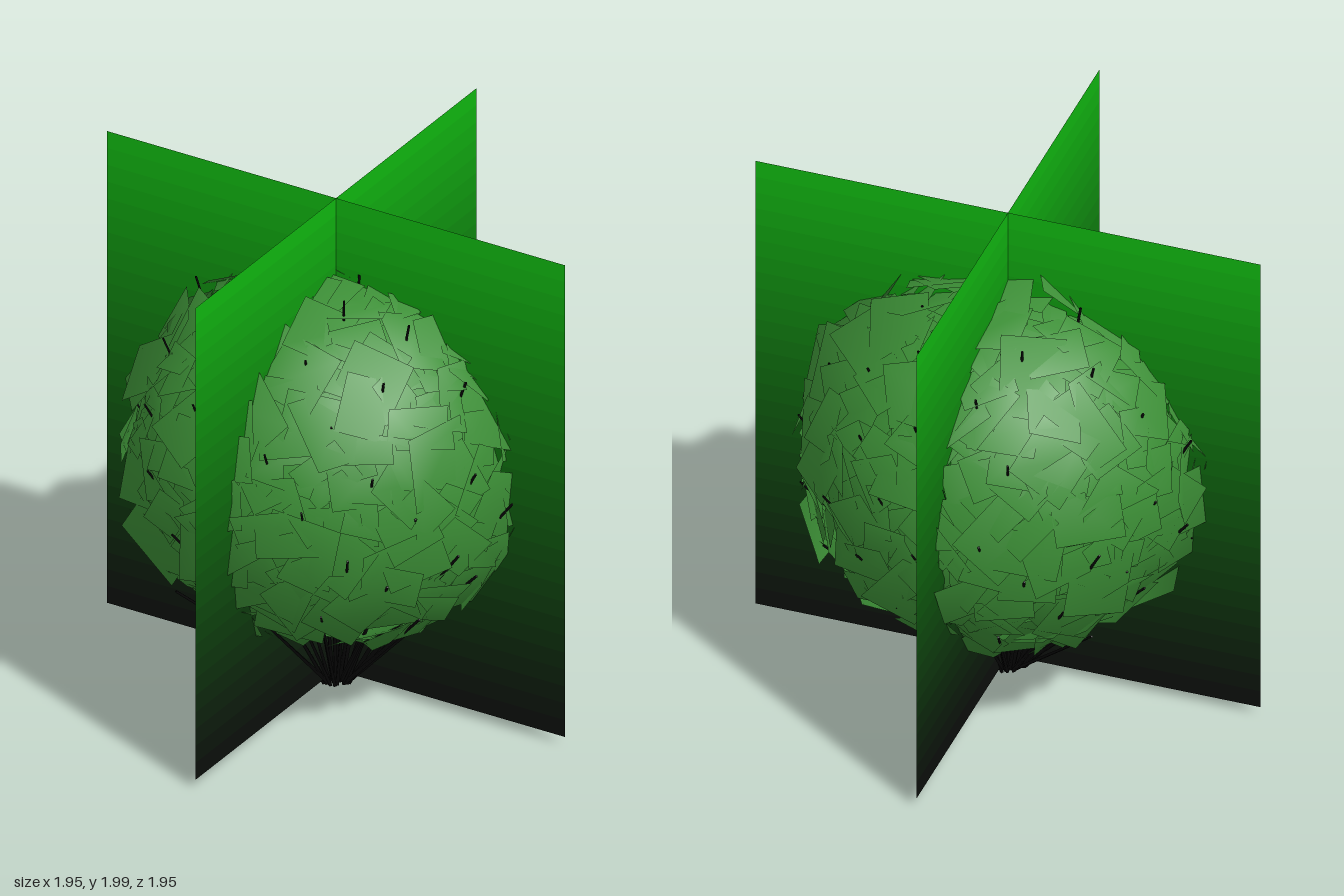
import * as THREE from 'three';
import { mergeGeometries } from 'three/addons/utils/BufferGeometryUtils.js';

const CENTER = new THREE.Vector3(0, 0.98, 0);

// small seeded generator, 0..1
function makeRandom(seed) {
  return () => {
    seed = (seed * 1664525 + 1013904223) % 4294967296;
    return seed / 4294967296;
  };
}

// evenly spread direction i of n on a sphere
function spread(i, n) {
  const y = 1 - (2 * (i + 0.5)) / n;
  const r = Math.sqrt(1 - y * y);
  const a = i * 2.399963;
  return new THREE.Vector3(Math.cos(a) * r, y, Math.sin(a) * r);
}

// overlapping square leaf cards lying on a rounded crown
function leafGeometry(rand) {
  const cards = [];
  const count = 520;
  const up = new THREE.Vector3(0, 0, 1);
  for (let i = 0; i < count; i++) {
    const dir = spread(i, count);
    dir.x += (rand() - 0.5) * 0.1;
    dir.z += (rand() - 0.5) * 0.1;
    dir.normalize();
    // opening underneath for the stems
    const gap = Math.min(Math.abs(dir.x), Math.abs(dir.z));
    if (dir.y < -0.88 || (dir.y < -0.68 && gap < 0.13)) continue;

    const size = 0.17 + rand() * 0.1;
    const card = new THREE.PlaneGeometry(size, size * (0.8 + rand() * 0.4));
    card.rotateZ(rand() * Math.PI * 2);
    card.rotateX((rand() - 0.5) * 0.8);
    card.rotateY((rand() - 0.5) * 0.8);
    card.applyQuaternion(new THREE.Quaternion().setFromUnitVectors(up, dir));
    const p = dir.clone().multiplyScalar(0.68 + rand() * 0.06);
    card.translate(p.x, CENTER.y + p.y * 0.97, p.z);

    // normals follow the crown so the foliage shades as one volume
    const pos = card.attributes.position;
    const n = new THREE.Vector3();
    for (let k = 0; k < pos.count; k++) {
      n.fromBufferAttribute(pos, k).sub(CENTER).normalize();
      card.attributes.normal.setXYZ(k, n.x, n.y, n.z);
    }
    cards.push(card);
  }
  return mergeGeometries(cards);
}

// straight thin stems fanning from the ground out through the crown
function stemGeometry(rand) {
  const stems = [];
  const count = 110;
  const up = new THREE.Vector3(0, 1, 0);
  for (let i = 0; i < count; i++) {
    const dir = spread(i, count);
    if (dir.y < -0.62) continue;
    const tip = dir.clone().multiplyScalar(0.72 + rand() * 0.08).add(CENTER);
    const base = new THREE.Vector3(dir.x * 0.07, 0.02 + rand() * 0.02, dir.z * 0.07);
    const along = tip.clone().sub(base);
    const stem = new THREE.CylinderGeometry(0.005, 0.008, along.length(), 4);
    stem.applyQuaternion(new THREE.Quaternion().setFromUnitVectors(up, along.clone().normalize()));
    const mid = base.clone().add(tip).multiplyScalar(0.5);
    stem.translate(mid.x, mid.y, mid.z);
    stems.push(stem);
  }
  return mergeGeometries(stems);
}

// upright card fading from near black to green in narrow bands
function gradientCard(name) {
  const card = new THREE.Group();
  card.name = name;
  const bands = 28, bottom = 0.05, height = 1.95 / bands;
  const dark = new THREE.Color(0x0b0b0b), light = new THREE.Color(0x10b810);
  // blend in display space for an even fade
  const a = dark.getRGB({}, THREE.SRGBColorSpace);
  const b = light.getRGB({}, THREE.SRGBColorSpace);
  for (let i = 0; i < bands; i++) {
    const t = (i + 0.5) / bands;
    const color = new THREE.Color().setRGB(
      a.r + (b.r - a.r) * t, a.g + (b.g - a.g) * t, a.b + (b.b - a.b) * t, THREE.SRGBColorSpace);
    const band = new THREE.Mesh(
      new THREE.PlaneGeometry(1.95, height),
      new THREE.MeshStandardMaterial({ color, side: THREE.DoubleSide }));
    band.name = 'cardBand';
    band.position.y = bottom + (i + 0.5) * height;
    card.add(band);
  }
  return card;
}

export function createModel() {
  const model = new THREE.Group();
  model.name = 'bush';
  const rand = makeRandom(17);

  const leaves = new THREE.Mesh(leafGeometry(rand),
    new THREE.MeshStandardMaterial({ color: 0x3c8f36, side: THREE.DoubleSide }));
  leaves.name = 'leaves';

  const stems = new THREE.Mesh(stemGeometry(rand),
    new THREE.MeshStandardMaterial({ color: 0x050505 }));
  stems.name = 'stems';

  // two cards crossing at right angles
  const frontCard = gradientCard('frontCard');
  const sideCard = gradientCard('sideCard');
  sideCard.rotation.y = Math.PI / 2;

  model.add(leaves, stems, frontCard, sideCard);
  return model;
}
